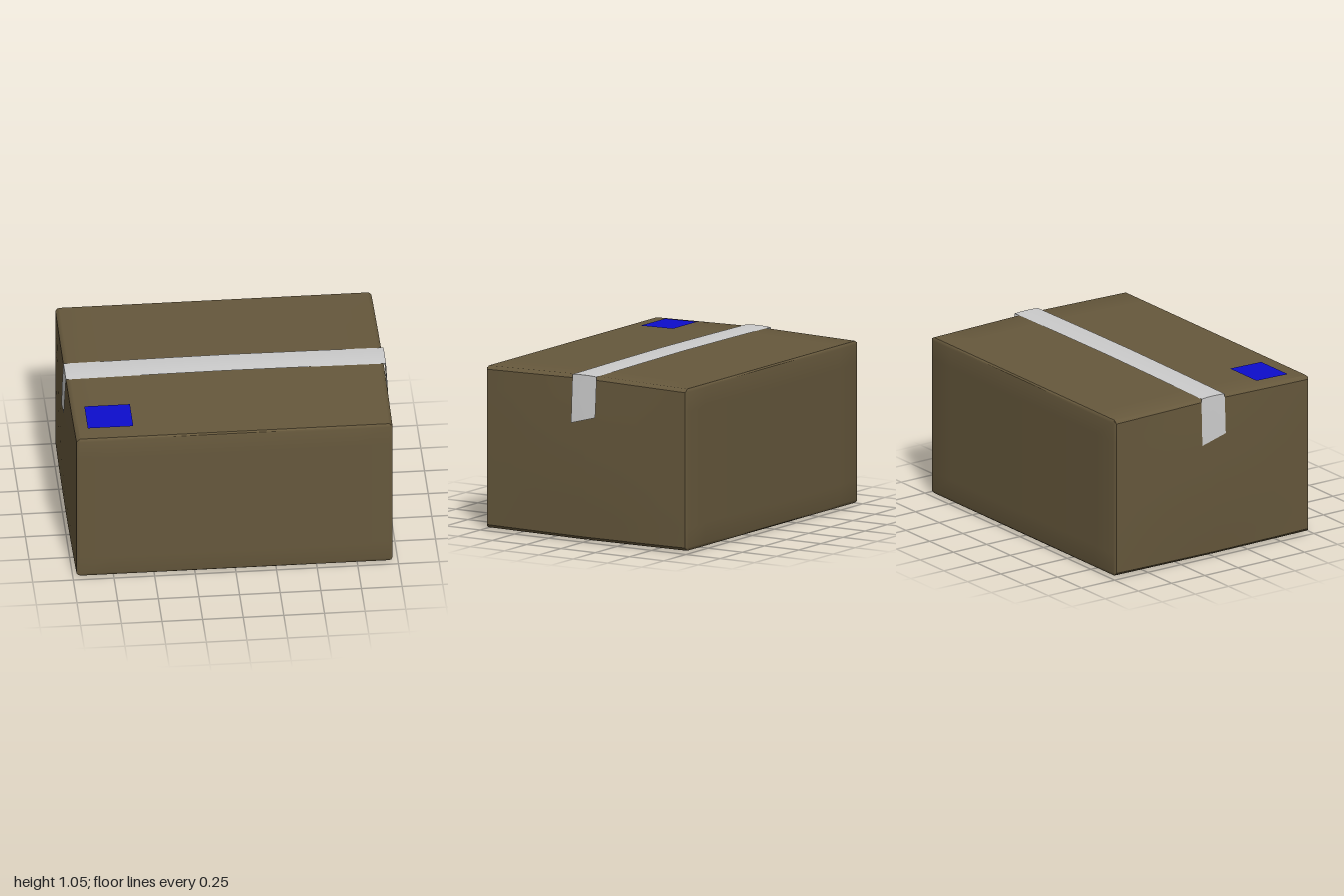
import * as THREE from 'three';
import { toCreasedNormals } from 'three/addons/utils/BufferGeometryUtils.js';

const BROWN = 0x66583c, TAPE = 0xcccccc, BLUE = 0x0d0dcc;

function part(name, geometry, color, side = THREE.FrontSide) {
  const mesh = new THREE.Mesh(geometry, new THREE.MeshStandardMaterial({ color, side }));
  mesh.name = name;
  return mesh;
}

// Grid stops from -1 to 1: narrow bevel strips at both ends, optional extra stops
function stops(n, bevel, extra = []) {
  const list = [-1, 1, ...extra];
  for (let i = 0; i <= n; i++) list.push((1 - bevel) * (2 * i / n - 1));
  return [...new Set(list)].sort((a, b) => a - b);
}

// Closed carton: bulging walls, ridged top, bevelled edges, seam groove underneath
function cartonGeometry() {
  const half = [0.972, 0.504, 0.73];
  const bevel = [0.022, 0.02, 0.008];
  const grid = [
    stops(10, bevel[0] / half[0]),
    stops(8, bevel[1] / half[1]),
    stops(8, bevel[2] / half[2], [-0.016, 0.016]),
  ];
  const geo = new THREE.BoxGeometry(1, 1, 1, ...grid.map((g) => g.length - 1));
  const pos = geo.attributes.position;
  for (let i = 0; i < pos.count; i++) {
    const u = [pos.getX(i), pos.getY(i), pos.getZ(i)]
      .map((c, k) => grid[k][Math.round((c + 0.5) * (grid[k].length - 1))]);
    const outer = u.map((c) => Math.abs(c) === 1);
    const onEdge = outer.filter(Boolean).length > 1;
    const p = u.map((c, k) => c * half[k] - (onEdge && outer[k] ? Math.sign(c) * bevel[k] * 0.4 : 0));
    const [bx, by, bz] = u.map((c) => 1 - c * c);
    let x = p[0] - 0.006 + Math.sign(u[0]) * (outer[0] ? 0.014 * by * bz + 0.004 * bz : 0);
    let y = p[1] + 0.516;
    const z = p[2] + (outer[2] ? Math.sign(u[2]) * 0.005 * bx : 0);
    if (u[1] > 0) y += 0.015 * (1 - Math.abs(u[2])) * u[1];
    else y += 0.012 * (1 - Math.abs(u[2])) * (0.4 + 0.6 * bx) * u[1];
    if (Math.abs(u[2]) < 1e-6 && u[1] === -1) y = 0.021;
    pos.setXYZ(i, x, y, z);
  }
  return toCreasedNormals(geo, 0.5);
}

// Tape strip running over the top and down both ends, with slanted cut ends
function tapeGeometry() {
  const path = [[-0.998, 0.76], [-0.993, 0.9], [-0.986, 1.036], [-0.5, 1.041], [0, 1.044],
    [0.5, 1.041], [0.983, 1.036], [0.991, 0.9], [1, 0.76]];
  const last = path.length - 1;
  const geo = new THREE.PlaneGeometry(1, 1, last, 4);
  const pos = geo.attributes.position;
  for (let i = 0; i < pos.count; i++) {
    const k = Math.round((pos.getX(i) + 0.5) * last);
    const v = -2 * pos.getY(i);
    const slant = k === 0 ? 0.024 * v : k === last ? -0.024 * v : 0;
    const crown = k > 1 && k < last - 1 ? 0.004 * (1 - v * v) : 0;
    pos.setXYZ(i, path[k][0], path[k][1] + slant + crown, 0.088 * v);
  }
  return toCreasedNormals(geo, 0.7);
}

export function createModel() {
  const group = new THREE.Group();
  group.name = 'cardboardBox';
  group.add(part('carton', cartonGeometry(), BROWN));
  group.add(part('tape', tapeGeometry(), TAPE, THREE.DoubleSide));

  // Flat label on the front flap
  const label = part('label', new THREE.PlaneGeometry(0.28, 0.235), BLUE, THREE.DoubleSide);
  label.rotation.x = -Math.PI / 2 + 0.018;
  label.position.set(-0.76, 1.033, 0.507);
  group.add(label);
  return group;
}
